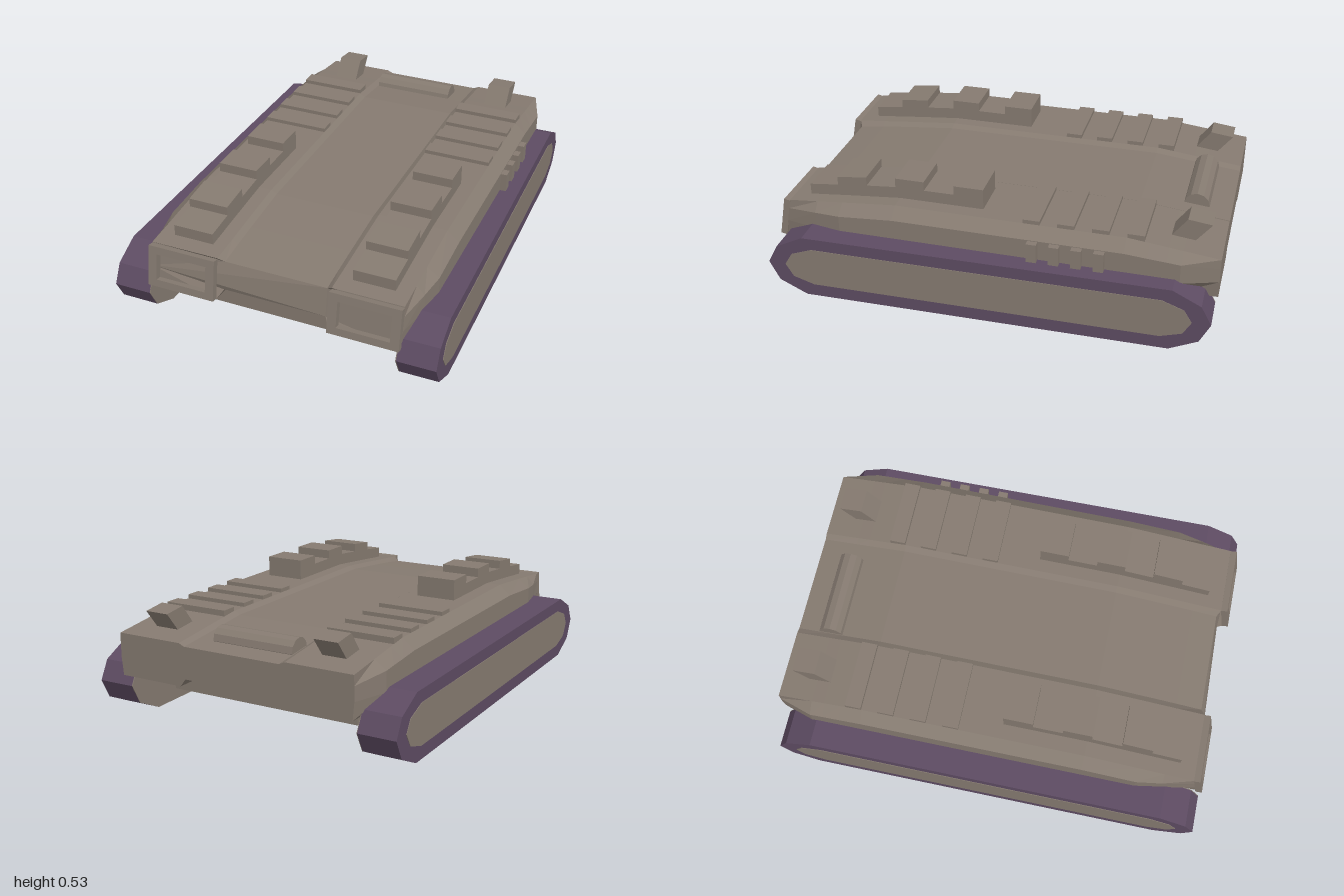
import * as THREE from 'three';

const hullMat = new THREE.MeshStandardMaterial({ color: 0x857a70, flatShading: true });
hullMat.name = 'taupe armour';
const trackMat = new THREE.MeshStandardMaterial({ color: 0x5d4b62, flatShading: true });
trackMat.name = 'purple track';

function add(parent, name, geo, mat, x = 0, y = 0, z = 0) {
  const m = new THREE.Mesh(geo, mat);
  m.name = name;
  m.position.set(x, y, z);
  parent.add(m);
  return m;
}

// Extrudes a side outline of [z, y] points along x, centred on x = 0
function sideExtrude(points, width) {
  const shape = new THREE.Shape(points.map(([z, y]) => new THREE.Vector2(-z, y)));
  const geo = new THREE.ExtrudeGeometry(shape, { depth: width, bevelEnabled: false });
  geo.rotateY(Math.PI / 2);
  geo.translate(-width / 2, 0, 0);
  return geo;
}

// Full cross-section, clockwise seen from the front
function hullSection([z, top, mid, xb, yb, low, midLow], front) {
  const half = [[0.235, mid], [0.262, top], [0.577, top], [xb, yb], [xb, 0.28],
    [0.57, low], [0.262, low], [0.235, midLow]];
  const ring = [...half, ...half.map(([x, y]) => [-x, y]).reverse()];
  return ring.map(([x, y]) => {
    const slant = front ? (0.385 - y) * 0.19 - (Math.abs(x) < 0.25 ? 0.02 : 0) : 0;
    return new THREE.Vector3(x, y, z + slant);
  });
}

function loft(rings) {
  const pos = [];
  const tri = (a, b, c) => pos.push(...a.toArray(), ...b.toArray(), ...c.toArray());
  const n = rings[0].length;
  for (let k = 0; k < rings.length - 1; k++) {
    for (let i = 0; i < n; i++) {
      const j = (i + 1) % n;
      const a = rings[k][i], b = rings[k][j], c = rings[k + 1][j], d = rings[k + 1][i];
      tri(a, d, c);
      tri(a, c, b);
    }
  }
  // End caps, oriented outwards
  for (const [ring, dir] of [[rings[0], -1], [rings[rings.length - 1], 1]]) {
    const flat = ring.map(p => new THREE.Vector2(p.x, p.y));
    for (const [i, j, k] of THREE.ShapeUtils.triangulateShape(flat, [])) {
      const area = THREE.ShapeUtils.area([flat[i], flat[j], flat[k]]);
      if (area * dir > 0) tri(ring[i], ring[j], ring[k]);
      else tri(ring[i], ring[k], ring[j]);
    }
  }
  const geo = new THREE.BufferGeometry();
  geo.setAttribute('position', new THREE.Float32BufferAttribute(pos, 3));
  geo.computeVertexNormals();
  return geo;
}

function makeTrack(name) {
  const g = new THREE.Group();
  g.name = name;
  const outline = [[0.99, 0.15], [0.945, 0.235], [0.82, 0.297], [-0.82, 0.297], [-0.945, 0.235],
    [-0.99, 0.15], [-0.945, 0.06], [-0.82, 0], [0.82, 0], [0.945, 0.06]];
  const inset = [[0.91, 0.15], [0.875, 0.207], [0.78, 0.242], [-0.78, 0.242], [-0.875, 0.207],
    [-0.91, 0.15], [-0.875, 0.09], [-0.78, 0.06], [0.78, 0.06], [0.875, 0.09]];
  add(g, 'trackBelt', sideExtrude(outline, 0.172), trackMat);
  add(g, 'trackOuterPanel', sideExtrude(inset, 0.004), hullMat, 0.0865);
  add(g, 'trackInnerPanel', sideExtrude(outline, 0.004), hullMat, -0.0865);
  return g;
}

export function createModel() {
  const model = new THREE.Group();
  model.name = 'trackedVehicle';
  const hull = new THREE.Group();
  hull.name = 'hull';
  hull.position.x = 0.0075;
  model.add(hull);

  // Hull stations: z, pod top, centre top, bulge x, bulge y, pod bottom, centre bottom
  const stations = [
    [-1, 0.39, 0.378, 0.578, 0.345, 0.2, 0.235],
    [-0.84, 0.408, 0.394, 0.632, 0.37, 0.2, 0.235],
    [-0.78, 0.415, 0.4, 0.632, 0.375, 0.2, 0.21],
    [-0.7, 0.424, 0.409, 0.632, 0.38, 0.155, 0.155],
    [-0.6, 0.435, 0.42, 0.632, 0.388, 0.155, 0.155],
    [0.43, 0.435, 0.42, 0.632, 0.388, 0.155, 0.155],
    [0.68, 0.412, 0.396, 0.632, 0.37, 0.155, 0.155],
    [0.8, 0.4, 0.383, 0.611, 0.36, 0.2, 0.22],
    [0.935, 0.388, 0.368, 0.58, 0.345, 0.2, 0.24],
  ];
  add(hull, 'hullBody', loft(stations.map((s, i) => hullSection(s, i === stations.length - 1))), hullMat);
  add(hull, 'belly', new THREE.BoxGeometry(0.936, 0.16, 1.63), hullMat, 0, 0.17, 0.035);

  // Frame around each recessed front panel
  const frame = new THREE.Shape([[-0.158, 0], [0.158, 0], [0.158, 0.187], [-0.158, 0.187]]
    .map(p => new THREE.Vector2(...p)));
  frame.holes.push(new THREE.Path([[-0.118, 0.033], [-0.118, 0.152], [0.118, 0.152], [0.118, 0.033]]
    .map(p => new THREE.Vector2(...p))));
  const frameGeo = new THREE.ExtrudeGeometry(frame, { depth: 0.03, bevelEnabled: false });

  // Stepped armour and rear vent outlines: z, y
  const steps = [[0.86, 0.36], [0.86, 0.445], [0.725, 0.46], [0.725, 0.5], [0.587, 0.515],
    [0.587, 0.475], [0.45, 0.487], [0.45, 0.53], [0.317, 0.53], [0.317, 0.488],
    [0.18, 0.488], [0.18, 0.53], [0.045, 0.53], [0.045, 0.36]];
  const vent = [[-0.75, 0.38], [-0.84, 0.5], [-0.945, 0.487], [-0.86, 0.38]];

  for (const [s, side] of [[1, 'left'], [-1, 'right']]) {
    add(hull, side + 'FrontFrame', frameGeo, hullMat, s * 0.42, 0.2, 0.969).rotation.x = -0.187;
    add(hull, side + 'SteppedArmour', sideExtrude(steps, 0.186), hullMat, s * 0.416);
    add(hull, side + 'RearVent', sideExtrude(vent, 0.112), hullMat, s * 0.418);
    for (let i = 0; i < 4; i++) {
      add(hull, side + 'DeckStrip', new THREE.BoxGeometry(0.314, 0.05, 0.074), hullMat,
        s * 0.42, 0.428, -0.187 - i * 0.151);
    }
  }

  // Rear roller on the centre deck
  const roller = new THREE.CylinderGeometry(0.058, 0.058, 0.39, 12);
  roller.rotateZ(Math.PI / 2);
  add(hull, 'rearRoller', roller, hullMat, -0.0375, 0.39, -0.843);

  // Small ribs on the left flank
  for (let i = 0; i < 4; i++) {
    add(hull, 'sideRib', new THREE.BoxGeometry(0.05, 0.1, 0.045), hullMat, 0.636, 0.335, -0.207 - i * 0.097);
  }

  // Tracks; the left one is slightly toed out
  const left = makeTrack('leftTrack');
  left.position.x = 0.645;
  left.rotation.y = 0.0125;
  const right = makeTrack('rightTrack');
  right.position.x = -0.6625;
  right.rotation.y = Math.PI;
  model.add(left, right);
  return model;
}
